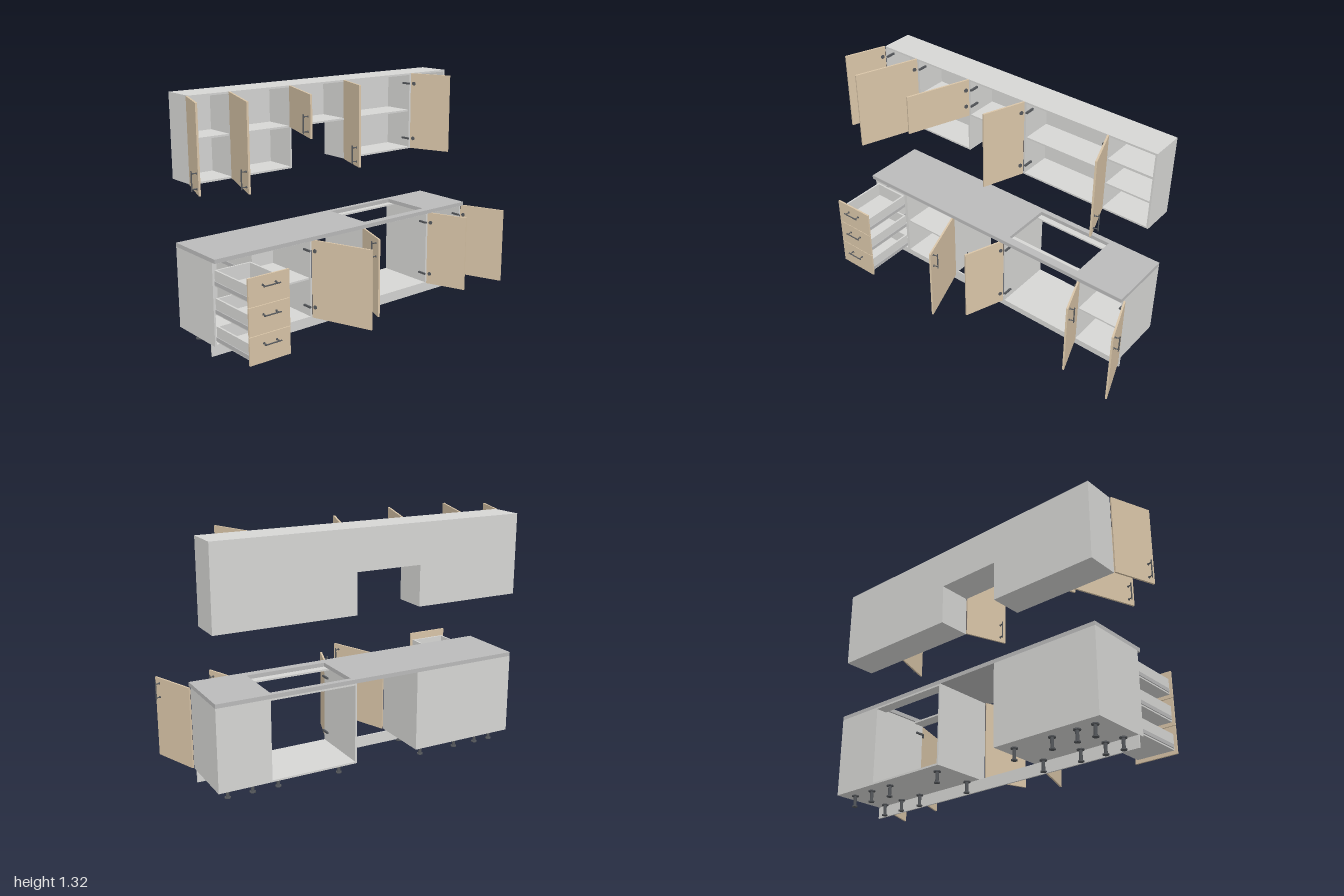
import * as THREE from 'three';

const mat = (name, color) => {
  const m = new THREE.MeshStandardMaterial({ color });
  m.name = name;
  return m;
};
const BODY = mat('light grey board', 0xd6d6d4);
const WOOD = mat('beige front', 0xd9c5a8);
const TOP = mat('grey worktop', 0xbababa);
const METAL = mat('dark metal', 0x55585c);

const T = 0.01; // board thickness
const BACK = -0.35;
const OPEN = THREE.MathUtils.degToRad(110);

// Box given by its minimum and maximum on each axis
function box(parent, name, material, x0, x1, y0, y1, z0, z1) {
  const m = new THREE.Mesh(new THREE.BoxGeometry(x1 - x0, y1 - y0, z1 - z0), material);
  m.position.set((x0 + x1) / 2, (y0 + y1) / 2, (z0 + z1) / 2);
  m.name = name;
  parent.add(m);
  return m;
}

function rod(parent, name, r, h, x, y, z, axis = 'y') {
  const m = new THREE.Mesh(new THREE.CylinderGeometry(r, r, h, 14), METAL);
  m.position.set(x, y, z);
  if (axis === 'x') m.rotation.z = Math.PI / 2;
  if (axis === 'z') m.rotation.x = Math.PI / 2;
  m.name = name;
  parent.add(m);
}

// Bar handle with two posts, upright, standing off the +z face
function handle() {
  const g = new THREE.Group();
  g.name = 'handle';
  rod(g, 'handleBar', 0.0035, 0.1, 0, 0, 0.026);
  for (const s of [-1, 1]) {
    rod(g, 'handlePost', 0.003, 0.026, 0, s * 0.038, 0.013, 'z');
    rod(g, 'handleRose', 0.006, 0.003, 0, s * 0.038, 0.0015, 'z');
  }
  return g;
}

// Open-fronted carcass with optional back and shelves
function cabinet(parent, name, x0, x1, y0, y1, front, { back = true, shelves = [], rails = false } = {}) {
  const g = new THREE.Group();
  g.name = name;
  box(g, 'leftSide', BODY, x1 - T, x1, y0, y1, BACK, front);
  box(g, 'rightSide', BODY, x0, x0 + T, y0, y1, BACK, front);
  box(g, 'bottom', BODY, x0 + T, x1 - T, y0, y0 + T, BACK, front);
  if (rails) {
    box(g, 'frontRail', BODY, x0 + T, x1 - T, y1 - T, y1, front - 0.065, front);
    box(g, 'backRail', BODY, x0 + T, x1 - T, y1 - T, y1, BACK, BACK + 0.065);
  } else box(g, 'topBoard', BODY, x0 + T, x1 - T, y1 - T, y1, BACK, front);
  if (back) box(g, 'backPanel', BODY, x0 + T, x1 - T, y0 + T, y1 - T, BACK, BACK + 0.004);
  for (const y of shelves) box(g, 'shelf', BODY, x0 + T, x1 - T, y - T / 2, y + T / 2, BACK + 0.004, front - 0.01);
  parent.add(g);
}

// Door swung open about its hinge edge; side 1 closes towards +x, -1 towards -x
function door(parent, hingeX, side, w, y0, y1, front, handleY, hingeYs) {
  const g = new THREE.Group();
  g.name = 'door';
  g.position.set(hingeX, 0, front);
  g.rotation.y = -side * OPEN;
  const a = side * 0.002, b = side * (w - 0.002);
  box(g, 'doorPanel', WOOD, Math.min(a, b), Math.max(a, b), y0, y1, 0, T);
  const h = handle();
  h.position.set(side * (w - 0.037), handleY, T);
  g.add(h);
  for (const y of hingeYs) {
    rod(g, 'hingeCup', 0.011, 0.005, side * 0.022, y, -0.002, 'z');
    const x = hingeX + side * (T + 0.005);
    box(parent, 'hingeArm', METAL, x - 0.005, x + 0.005, y - 0.005, y + 0.005, front - 0.05, front + 0.006);
  }
  parent.add(g);
}

// Pulled-out drawer: front, four walls, base and runners
function drawer(parent, x0, x1, y0) {
  const g = new THREE.Group();
  g.name = 'drawer';
  const a = x0 + 0.016, b = x1 - 0.016, low = y0 + 0.02, high = y0 + 0.105, z0 = -0.005, z1 = 0.303;
  box(g, 'drawerFront', WOOD, x0 + 0.002, x1 - 0.002, y0 + 0.001, y0 + 0.147, z1, z1 + T);
  box(g, 'drawerSide', BODY, a, a + T, low, high, z0, z1);
  box(g, 'drawerSide', BODY, b - T, b, low, high, z0, z1);
  box(g, 'drawerBack', BODY, a + T, b - T, low, high, z0, z0 + T);
  box(g, 'drawerInnerFront', BODY, a + T, b - T, low, high, z1 - T, z1);
  box(g, 'drawerBase', BODY, a + T, b - T, low, low + 0.005, z0 + T, z1 - T);
  for (const x of [a - 0.005, b])
    box(g, 'runner', TOP, x, x + 0.005, low + 0.008, low + 0.028, -0.3, z1 - 0.01);
  const h = handle();
  h.rotation.z = Math.PI / 2;
  h.position.set((x0 + x1) / 2, y0 + 0.1, z1 + T);
  g.add(h);
  parent.add(g);
}

// Adjustable foot
function leg(parent, x, z) {
  const g = new THREE.Group();
  g.name = 'leg';
  rod(g, 'legFoot', 0.016, 0.006, x, 0.003, z);
  rod(g, 'legShaft', 0.009, 0.054, x, 0.033, z);
  rod(g, 'legPlate', 0.019, 0.006, x, 0.062, z);
  parent.add(g);
}

export function createModel() {
  const model = new THREE.Group();
  model.name = 'kitchen';
  // Bay boundaries along the wall
  const X = [-0.89, -0.645, -0.272, 0.1, 0.598, 0.878];

  // Base units
  const base = new THREE.Group();
  base.name = 'baseUnits';
  model.add(base);
  const b0 = 0.065, b1 = 0.512;
  cabinet(base, 'drawerUnit', X[0], X[1], b0, b1, 0, { rails: true });
  cabinet(base, 'shelfUnit', X[1], X[2], b0, b1, 0, { shelves: [0.29], rails: true });
  cabinet(base, 'sinkUnit', X[3], X[4], b0, b1, 0, { back: false, rails: true });
  cabinet(base, 'endUnit', X[4], X[5], b0, b1, 0, { shelves: [0.29], rails: true });
  for (let i = 0; i < 3; i++) drawer(base, X[0], X[1], 0.066 + i * 0.149);
  const half = (X[4] - X[3]) / 2;
  for (const [x, s, w] of [[X[2], -1, X[2] - X[1]], [X[3], 1, half], [X[4], -1, half], [X[5], -1, X[5] - X[4]]])
    door(base, x, s, w, b0 + 0.002, b1 - 0.002, 0, 0.443, [0.13, 0.45]);
  for (const i of [0, 1, 3, 4])
    for (const x of [X[i] + 0.072, X[i + 1] - 0.072])
      for (const z of [-0.06, -0.282]) leg(base, x, z);
  box(base, 'plinth', BODY, X[0], X[5], 0, b0 - 0.001, -0.041, -0.032);

  // Worktop with sink cutout
  const shape = new THREE.Shape();
  shape.moveTo(X[0], -0.025).lineTo(X[5], -0.025).lineTo(X[5], 0.35).lineTo(X[0], 0.35).closePath();
  const hole = new THREE.Path();
  hole.moveTo(0.122, 0.022).lineTo(0.122, 0.32).lineTo(0.578, 0.32).lineTo(0.578, 0.022).closePath();
  shape.holes.push(hole);
  const top = new THREE.Mesh(new THREE.ExtrudeGeometry(shape, { depth: 0.022, bevelEnabled: false }), TOP);
  top.rotation.x = -Math.PI / 2;
  top.position.y = b1;
  top.name = 'worktop';
  model.add(top);

  // Wall units
  const wall = new THREE.Group();
  wall.name = 'wallUnits';
  model.add(wall);
  const w0 = 0.875, w1 = 1.32, hood = 1.098, f = -0.163;
  cabinet(wall, 'wallUnit', X[0], X[1], w0, w1, f, { shelves: [1.1] });
  cabinet(wall, 'wallUnit', X[1], X[2], w0, w1, f, { shelves: [1.1] });
  cabinet(wall, 'hoodUnit', X[2], X[3], hood, w1, f);
  cabinet(wall, 'wideWallUnit', X[3], X[4], w0, w1, f, { shelves: [1.1] });
  cabinet(wall, 'openShelfUnit', X[4], X[5], w0, w1, f, { shelves: [1.027, 1.172] });
  for (const [x, s, w] of [[X[0], 1, X[1] - X[0]], [X[1], 1, X[2] - X[1]], [X[3], 1, half], [X[4], -1, half]])
    door(wall, x, s, w, w0 + 0.001, w1 - 0.001, f, 0.942, [0.935, 1.26]);
  door(wall, X[2], 1, X[3] - X[2], hood + 0.001, w1 - 0.001, f, 1.168, [1.162, 1.26]);

  return model;
}
